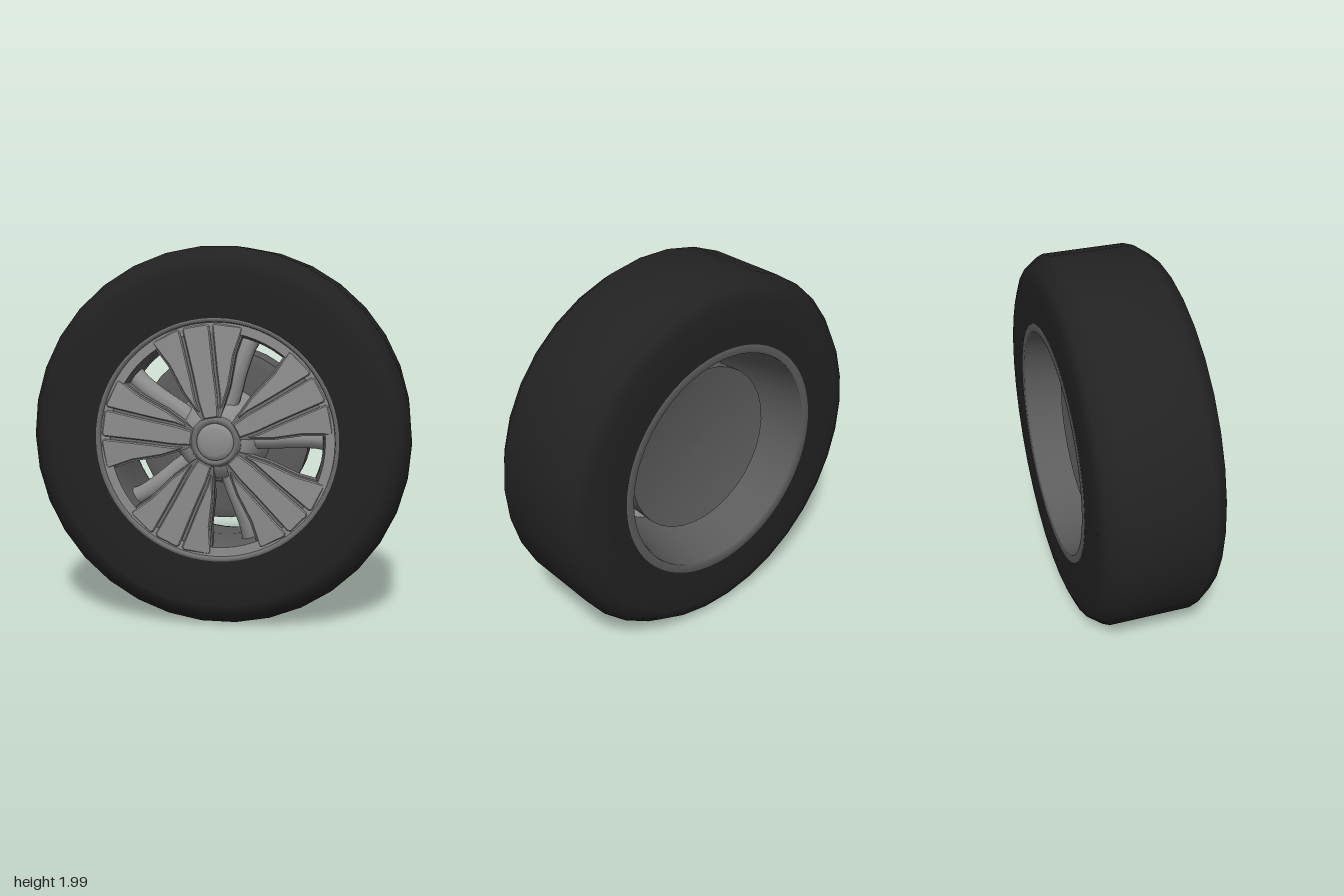
import * as THREE from 'three';

const mat = (name, color, side = THREE.FrontSide) => {
  const m = new THREE.MeshStandardMaterial({ color, side });
  m.name = name;
  return m;
};

export function createModel() {
  const rubber = mat('tyre black', 0x222222);
  const silver = mat('wheel silver', 0x8e8e8e, THREE.DoubleSide);
  const groove = mat('groove grey', 0x707070, THREE.DoubleSide);
  const steel = mat('dark steel', 0x5c5c5c, THREE.DoubleSide);

  const model = new THREE.Group();
  model.name = 'wheel';
  const wheel = new THREE.Group();
  wheel.name = 'wheelAssembly';
  wheel.position.y = 0.996;
  model.add(wheel);

  const add = (parent, name, geometry, material) => {
    const mesh = new THREE.Mesh(geometry, material);
    mesh.name = name;
    parent.add(mesh);
    return mesh;
  };

  // Turned part about the z axis from [radius, z] points
  const turned = (name, profile, material, segments = 34) => {
    const g = new THREE.LatheGeometry(profile.map(([r, z]) => new THREE.Vector2(r, z)), segments, Math.PI / 2);
    g.rotateX(Math.PI / 2);
    return add(wheel, name, g, material);
  };

  // Tyre
  turned('tyre', [
    [0.645, -0.34], [0.76, -0.34], [0.88, -0.34], [0.945, -0.315], [1, -0.24],
    [1, -0.02], [1, 0.2], [0.945, 0.28], [0.88, 0.303], [0.76, 0.303], [0.635, 0.303],
  ], rubber);

  // Rim: front lip, barrel and rear flange
  turned('rimLip', [[0.637, 0.295], [0.635, 0.305], [0.617, 0.305], [0.613, 0.286]], groove, 68);
  turned('rimFace', [[0.613, 0.286], [0.565, 0.286]], silver, 68);
  turned('rimBarrel', [[0.565, 0.286], [0.55, 0.24], [0.545, 0.06], [0.605, -0.33]], steel, 68);
  turned('rimFlange', [[0.605, -0.33], [0.605, -0.342], [0.648, -0.342], [0.652, -0.33]], steel, 68);

  // Brake drum with a shallow dished back
  turned('drumBack', [[0.465, -0.16], [0.32, -0.135], [0.16, -0.12], [0, -0.115]], steel);
  turned('drumShell', [[0.465, -0.16], [0.46, 0.04]], steel);
  turned('drumFront', [[0.46, 0.04], [0.4, 0.06], [0, 0.07]], steel);

  // Hub and centre cap
  turned('hubBase', [[0.26, 0.06], [0.23, 0.17], [0.2, 0.25], [0.16, 0.288], [0.125, 0.3]], silver);
  turned('hubRing', [[0.135, 0.295], [0.122, 0.318], [0.108, 0.324], [0.1, 0.312], [0.09, 0.312]], groove);
  turned('centreCap', [[0.097, 0.31], [0.094, 0.323], [0.07, 0.331], [0.035, 0.336], [0, 0.338]], silver);

  // Plate cut from [across, outward] points, draped on the shallow cone of the wheel face
  const plate = (points, depth, drop, bevel = 0) => {
    const g = new THREE.ExtrudeGeometry(new THREE.Shape(points.map(([u, v]) => new THREE.Vector2(u, v))), {
      depth, bevelEnabled: bevel > 0, bevelThickness: bevel, bevelSize: bevel, bevelOffset: -bevel, bevelSegments: 1,
    });
    const p = g.attributes.position;
    for (let i = 0; i < p.count; i++) {
      const u = p.getX(i), v = p.getY(i);
      const face = 0.322 - 0.045 * Math.hypot(u, v) - 0.05 * Math.max(0, Math.abs(u) - 0.08);
      p.setZ(i, face - drop + p.getZ(i) - depth - bevel);
    }
    g.computeVertexNormals();
    return g;
  };
  const mirror = (points) => points.map(([u, v]) => [-u, v]);

  const edge = [[0.045, 0.115], [0.072, 0.165], [0.126, 0.272], [0.18, 0.425], [0.252, 0.558], [0.13, 0.603]];
  const spokeGeo = plate([...edge, [0, 0.617], ...mirror(edge).reverse()], 0.06, 0.011);
  const centreGeo = plate([
    [-0.038, 0.125], [0.038, 0.125], [0.05, 0.22], [0.055, 0.35], [0.07, 0.59], [0.058, 0.604],
    [-0.058, 0.604], [-0.07, 0.59], [-0.055, 0.35], [-0.05, 0.22],
  ], 0.01, 0, 0.006);
  const side = [
    [0.054, 0.165], [0.068, 0.175], [0.117, 0.272], [0.17, 0.425], [0.238, 0.55],
    [0.225, 0.562], [0.1, 0.6], [0.086, 0.59], [0.07, 0.35], [0.064, 0.22],
  ];
  const sideGeo = [side, mirror(side)].map((s) => plate(s, 0.01, 0, 0.006));

  // Rounded rib behind one side of each spoke
  const ribGeo = new THREE.TubeGeometry(new THREE.CatmullRomCurve3([
    new THREE.Vector3(0.05, 0.12, 0.21), new THREE.Vector3(0.105, 0.21, 0.2), new THREE.Vector3(0.165, 0.34, 0.2),
    new THREE.Vector3(0.225, 0.45, 0.185), new THREE.Vector3(0.265, 0.5, 0.17),
  ]), 16, 0.053, 10);

  // Five spokes
  for (let i = 0; i < 5; i++) {
    const spoke = new THREE.Group();
    spoke.name = 'spoke' + (i + 1);
    spoke.rotation.z = THREE.MathUtils.degToRad(10 + 72 * i);
    wheel.add(spoke);
    add(spoke, 'spokePlate', spokeGeo, groove);
    add(spoke, 'centrePanel', centreGeo, silver);
    add(spoke, 'rightPanel', sideGeo[0], silver);
    add(spoke, 'leftPanel', sideGeo[1], silver);
    add(spoke, 'innerRib', ribGeo, silver);
  }
  return model;
}
